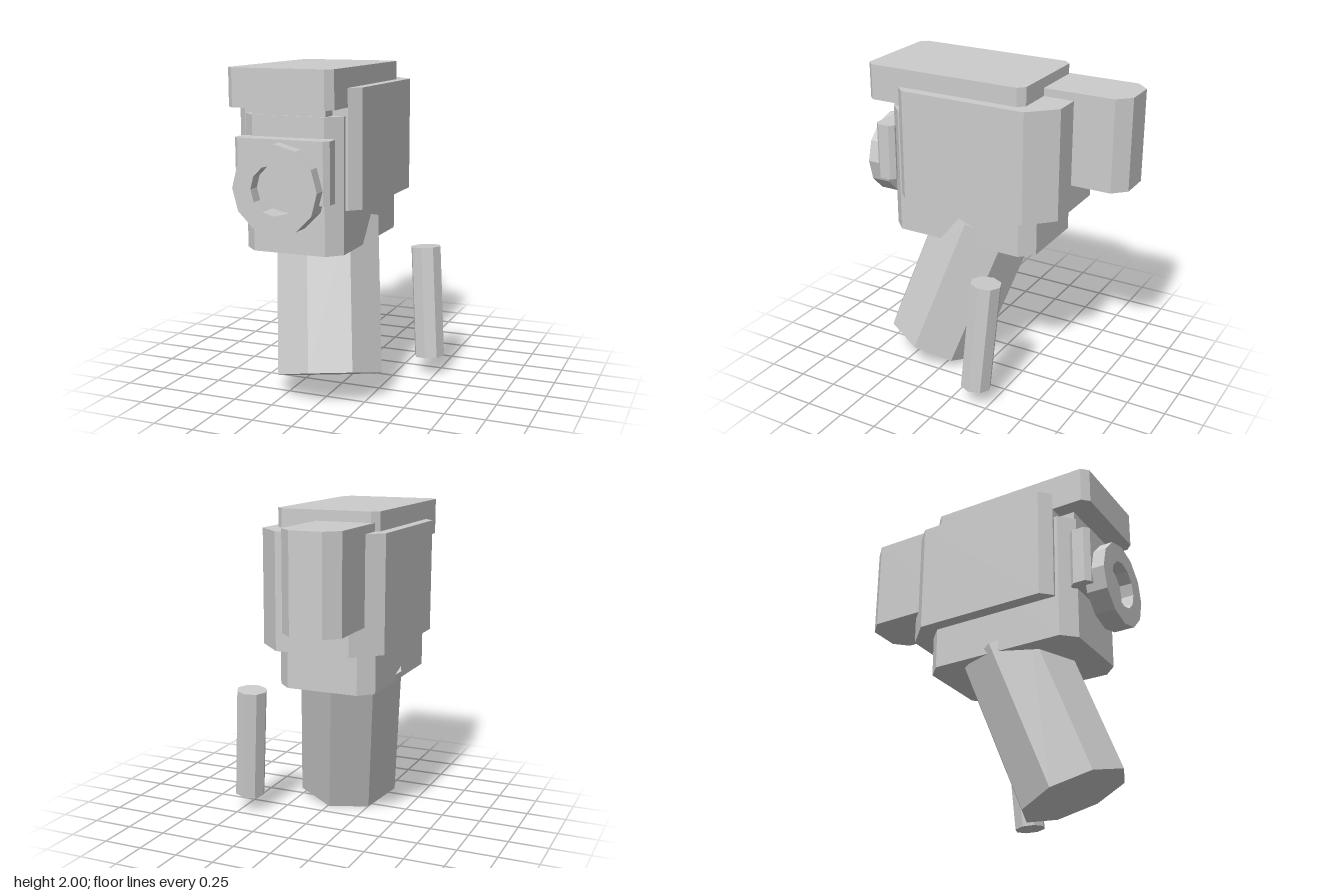
import * as THREE from 'three';

export function createModel() {
  const model = new THREE.Group();
  const grey = new THREE.MeshStandardMaterial({ color: 0xcccccc, flatShading: true });
  grey.name = 'light grey';
  const midX = -0.163;

  const add = (name, geometry) => {
    const mesh = new THREE.Mesh(geometry, grey);
    mesh.name = name;
    model.add(mesh);
    return mesh;
  };

  // Upright block with its four vertical edges cut at 45 degrees
  const block = (name, [x0, x1], [y0, y1], [z0, z1], front, back = front) => {
    const outline = [
      [x0 + front, z1], [x1 - front, z1], [x1, z1 - front], [x1, z0 + back],
      [x1 - back, z0], [x0 + back, z0], [x0, z0 + back], [x0, z1 - front],
    ].map(([x, z]) => new THREE.Vector2(x, -z));
    const geometry = new THREE.ExtrudeGeometry(new THREE.Shape(outline), {
      depth: y1 - y0, bevelEnabled: false,
    });
    geometry.rotateX(-Math.PI / 2).translate(0, y0, 0);
    return add(name, geometry);
  };

  // Stacked housing
  block('topPlate', [-0.49, 0.165], [1.775, 2], [-0.31, 0.79], 0.042);
  block('body', [-0.555, 0.23], [1.178, 1.885], [-0.508, 0.553], 0.065, 0.16);
  block('lowerCore', [-0.475, 0.15], [0.918, 1.725], [-0.365, 0.66], 0.085);
  const neck = add('neck', new THREE.BoxGeometry(0.465, 0.1, 0.85));
  neck.position.set(midX, 1.74, 0.225);
  block('rearPack', [-0.465, -0.102], [1.35, 1.935], [-0.85, -0.2], 0.03, 0.082);
  block('frontPlate', [-0.46, 0.133], [1.238, 1.602], [0.635, 0.77], 0.03);

  // Open twelve-sided ring on the front
  const polygon = (radius) => Array.from({ length: 12 }, (_, i) => {
    const a = (i * Math.PI) / 6;
    return new THREE.Vector2(Math.cos(a) * radius, Math.sin(a) * radius);
  });
  const ringShape = new THREE.Shape(polygon(0.264));
  ringShape.holes.push(new THREE.Path(polygon(0.147).reverse()));
  const ring = add('frontRing', new THREE.ExtrudeGeometry(ringShape, {
    depth: 0.13, bevelEnabled: false,
  }));
  ring.position.set(midX, 1.322, 0.72);

  // Slanted eight-sided handle
  const handle = add('handle', new THREE.CylinderGeometry(0.34, 0.34, 0.97, 8));
  handle.position.set(-0.088, 0.566, 0.254);
  handle.rotation.set(-0.333, 0, 0.15);

  // Separate slim rod beside the handle
  const rod = add('sideRod', new THREE.CylinderGeometry(0.098, 0.098, 0.717, 8));
  rod.position.set(0.425, 0.472, -0.175);
  rod.rotation.set(-0.065, 0, 0.07);

  return model;
}
